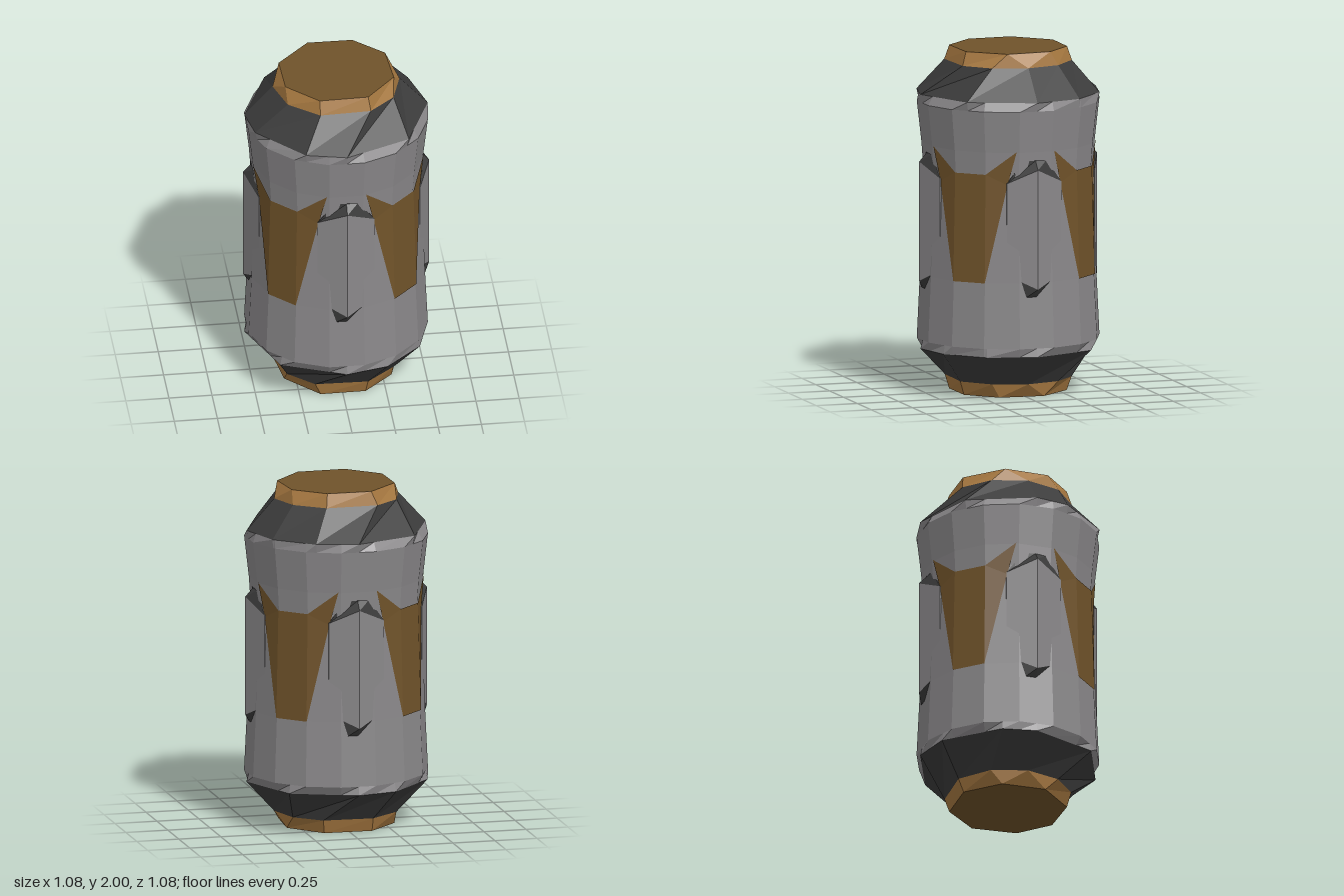
import * as THREE from 'three';

const mat = (name, color) => Object.assign(new THREE.MeshStandardMaterial({ color }), { name });
const RAD = Math.PI / 180;

// Mesh from convex polygons (corner lists, counter-clockwise from outside), faceted
function polyMesh(name, material, polys) {
  const pos = [];
  for (const p of polys)
    for (let i = 1; i < p.length - 1; i++) pos.push(...p[0], ...p[i], ...p[i + 1]);
  const g = new THREE.BufferGeometry();
  g.setAttribute('position', new THREE.Float32BufferAttribute(pos, 3));
  g.computeVertexNormals();
  const m = new THREE.Mesh(g, material);
  m.name = name;
  return m;
}

// Horizontal ring; radius may be a number or a function of the angle
const ring = (angles, r, y) => angles.map((a) => {
  const q = typeof r === 'function' ? r(a) : r;
  return [q * Math.cos(a * RAD), y, -q * Math.sin(a * RAD)];
});

// Quads joining rings from bottom to top
function loft(rings) {
  const polys = [];
  for (let k = 0; k < rings.length - 1; k++) {
    const a = rings[k], b = rings[k + 1], n = a.length;
    for (let i = 0; i < n; i++) {
      const j = (i + 1) % n;
      polys.push([a[i], a[j], b[j], b[i]]);
    }
  }
  return polys;
}

// Distance to the edge of an inscribed polygon at a given angle
const polygonRadius = (angles, r) => (t) => {
  for (let i = 0; i < angles.length; i++) {
    const a = angles[i], span = ((angles[(i + 1) % angles.length] - a + 360) % 360);
    const d = (t - a + 720) % 360;
    if (d <= span) return r * Math.cos(span / 2 * RAD) / Math.cos((d - span / 2) * RAD);
  }
  return r;
};

// Mirror polygons across x = 0
const both = (polys) => polys.concat(polys.map((p) => p.map(([x, y, z]) => [-x, y, z]).reverse()));

export function createModel() {
  const grey = mat('grey metal', 0x8a888a);
  const dark = mat('dark metal', 0x3c3c3c);
  const brown = mat('brown panel', 0x70532a);
  const gold = mat('gold trim', 0xa67840);
  const model = new THREE.Group();
  model.name = 'canister';

  // Sixteen-sided body, slightly waisted
  const sides = Array.from({ length: 16 }, (_, i) => 11.25 + i * 22.5);
  const profile = [[0.31, 0.53], [0.69, 0.512], [1.32, 0.494], [1.45, 0.503], [1.69, 0.53]];
  model.add(polyMesh('body', grey, loft(profile.map(([y, r]) => ring(sides, r, y)))));

  // Chamfer, collar and cap, the same at both ends
  const collarAngles = [0, 32, 63, 90, 134, 180, 202, 244, 270, 315];
  const trimAngles = [0, 33, 67, 116, 147, 180, 214, 249, 296, 327];
  const capAngles = [341, 27, 67, 112, 159, 159, 204, 247, 296, 341];
  const seam = [...sides, ...collarAngles].sort((a, b) => a - b);
  for (const end of ['top', 'bottom']) {
    const g = new THREE.Group();
    g.name = end + 'End';
    const capRing = ring(capAngles, 0.34, 1);
    const trimRing = ring(trimAngles, 0.368, 0.92);
    g.add(
      polyMesh('chamfer', grey, loft([
        ring(seam, polygonRadius(sides, 0.53), 0.69),
        ring(seam, polygonRadius(collarAngles, 0.532), 0.74)])),
      polyMesh('collar', dark, loft([ring(collarAngles, 0.532, 0.74), trimRing])),
      polyMesh('capRim', gold, loft([trimRing, capRing])),
      polyMesh('capFace', brown, [capRing]));
    g.position.y = 1;
    if (end === 'bottom') g.rotation.x = Math.PI;
    model.add(g);
  }

  // Point just above the body surface, a = degrees from the panel's middle
  const onBody = (a, y) => {
    let k = 0;
    while (k < profile.length - 2 && y > profile[k + 1][0]) k++;
    const [[y0, r0], [y1, r1]] = [profile[k], profile[k + 1]];
    const r = r0 + (r1 - r0) * (y - y0) / (y1 - y0);
    const off = a - Math.round(a / 22.5) * 22.5;
    const q = r * Math.cos(11.25 * RAD) / Math.cos(off * RAD) + 0.005;
    return [q * Math.sin(a * RAD), y, q * Math.cos(a * RAD)];
  };
  const A = onBody(11.25, 0.69), B = onBody(11.25, 1.32);
  const C = onBody(32, 1.455), D = onBody(26, 1.26);
  const panelPolys = [
    [onBody(-11.25, 0.69), A, B, onBody(-11.25, 1.32)],
    ...both([[A, D, B], [D, C, B]])];

  // Ridged pod: corners of one half, the other is mirrored
  const back = ([x, y]) => [x, y, 0.4];
  const ridgeTop = [0, 1.35, 0.54], ridgeLow = [0, 0.655, 0.54];
  const edgeTop = [0.165, 1.27, 0.468], edgeLow = [0.165, 0.735, 0.468];
  const tipTop = [0.07, 1.4, 0.485], midTop = [0, 1.4, 0.495];
  const tipLow = [0.07, 0.6, 0.5], midLow = [0, 0.6, 0.5];
  const podPolys = both([
    [ridgeLow, edgeLow, edgeTop, ridgeTop],
    [edgeLow, back(edgeLow), back(edgeTop), edgeTop]]);
  const podTop = both([
    [ridgeTop, edgeTop, tipTop, midTop],
    [edgeTop, back(edgeTop), back(tipTop), tipTop],
    [midTop, tipTop, back(tipTop), back(midTop)]]);
  const podLow = both([
    [midLow, tipLow, edgeLow, ridgeLow],
    [tipLow, back(tipLow), back(edgeLow), edgeLow]]);

  // Four pods on the axes, four panels on the diagonals
  for (let i = 0; i < 4; i++) {
    const pod = new THREE.Group();
    pod.name = 'pod';
    pod.add(polyMesh('podBody', grey, podPolys),
      polyMesh('podTopCap', dark, podTop),
      polyMesh('podBottomCap', dark, podLow));
    pod.rotation.y = i * Math.PI / 2;
    const panel = polyMesh('panel', brown, panelPolys);
    panel.rotation.y = (i + 0.5) * Math.PI / 2;
    model.add(pod, panel);
  }
  return model;
}
